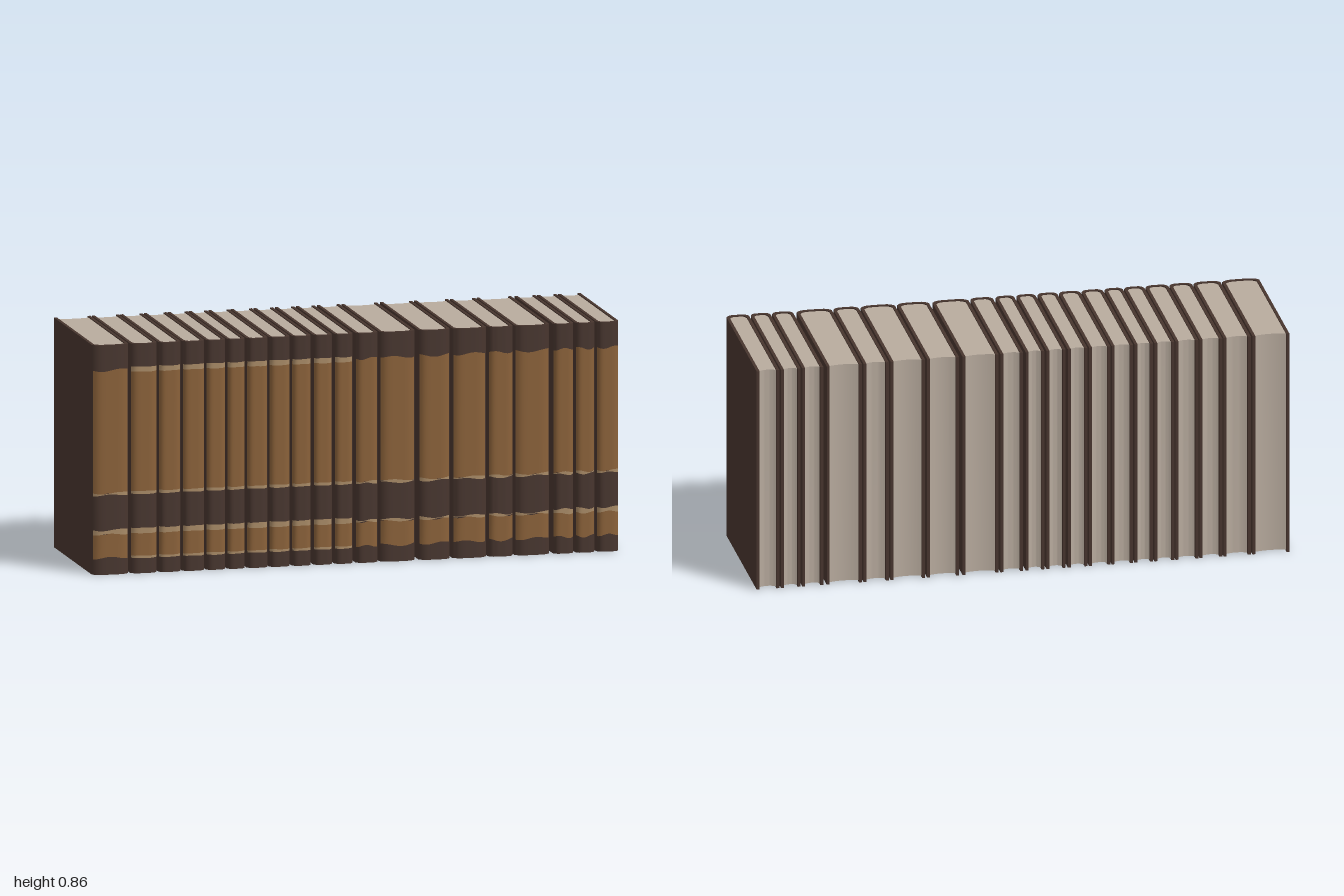
import * as THREE from 'three';
import { toCreasedNormals } from 'three/addons/utils/BufferGeometryUtils.js';

const HEIGHT = 0.86, BACK = -0.295, COVER = 0.011, RECESS = 0.004, SEGS = 14;

// left and right edge of each book along the row
const BOOKS = [
  [-1, -0.861], [-0.855, -0.753], [-0.748, -0.663], [-0.658, -0.573], [-0.568, -0.493],
  [-0.488, -0.419], [-0.413, -0.333], [-0.328, -0.248], [-0.242, -0.168], [-0.16, -0.088],
  [-0.08, -0.01], [0, 0.085], [0.092, 0.227], [0.24, 0.36], [0.368, 0.497],
  [0.504, 0.599], [0.605, 0.737], [0.75, 0.829], [0.835, 0.909], [0.915, 1],
];

const material = (name, color) => {
  const m = new THREE.MeshStandardMaterial({ color });
  m.name = name;
  return m;
};

// rounded front of a spine; u runs from -1 to 1 across the book
const spineZ = (u) => 0.273 + 0.0205 * (1 - Math.abs(u) ** 5);

// row of [x, z] points across the book
const across = (half, zAt) => Array.from({ length: SEGS + 1 }, (_, i) => {
  const u = -Math.cos((i / SEGS) * Math.PI);
  return [half * u, zAt(u)];
});

// upright prism from an outline seen from above
function prism(points, y0, y1) {
  const shape = new THREE.Shape(points.map(([x, z]) => new THREE.Vector2(x, -z)));
  const g = new THREE.ExtrudeGeometry(shape, { depth: y1 - y0, bevelEnabled: false });
  g.rotateX(-Math.PI / 2).translate(0, y0, 0);
  return toCreasedNormals(g, 0.6);
}

// painted strip that follows the spine, with slightly worn edges
function strip(half, y0, y1, lift, wear, seed) {
  const g = new THREE.PlaneGeometry(2, 1, 16, 1);
  const p = g.attributes.position;
  for (let i = 0; i < p.count; i++) {
    const u = p.getX(i) * 0.94;
    const top = p.getY(i) > 0;
    const wave = wear * Math.sin(u * 3.1 + seed * 2.3 + (top ? 0 : 1.7));
    p.setXYZ(i, half * u, (top ? y1 : y0) + wave, spineZ(u) + lift);
  }
  g.computeVertexNormals();
  return g;
}

export function createModel() {
  const leather = material('dark leather', 0x47352e);
  const tan = material('tan band', 0x8a6139);
  const trim = material('light trim', 0xa88a66);
  const paper = material('paper', 0xb8ab9e);
  const model = new THREE.Group();
  model.name = 'bookRow';

  BOOKS.forEach(([left, right], i) => {
    const half = (right - left) / 2, inner = half - COVER;
    const book = new THREE.Group();
    book.name = `book${i + 1}`;
    book.position.x = (left + right) / 2;
    const add = (name, geometry, mat) => {
      const mesh = new THREE.Mesh(geometry, mat);
      mesh.name = name;
      book.add(mesh);
    };

    // boards and spine as one U-shaped cover
    const outside = across(half, spineZ);
    const inside = across(inner, (u) => spineZ(u) - COVER);
    add('cover', prism([[-half, BACK], ...outside, [half, BACK],
      [inner, BACK], ...inside.slice().reverse(), [-inner, BACK]], 0, HEIGHT), leather);

    // page block with a hollow fore edge
    const foreEdge = across(inner, (u) => -0.282 + 0.009 * (1 - u * u));
    add('pages', prism([...inside, ...foreEdge.reverse()], RECESS, HEIGHT - RECESS), paper);

    // wide and narrow bands on the spine
    const worn = i === 0 || i > 10;
    const wear = worn ? 0.005 : 0.001;
    add('upperBand', strip(half, 0.3, 0.765, 0.0008, wear, i), tan);
    add('lowerBand', strip(half, 0.062, worn && i < 17 ? 0.155 : 0.16, 0.0008, wear, i), tan);

    // pale edging, mostly rubbed away on the worn books
    const edges = worn
      ? [[0.297, 0.305]].concat(i === 0 || i > 16 ? [[0.15, 0.167]] : [[0.153, 0.16]])
      : [[0.755, 0.774], [0.297, 0.308], [0.15, 0.17], [0.057, 0.066]];
    edges.forEach(([y0, y1]) => add('edging', strip(half, y0, y1, 0.0014, wear * 0.7, i), trim));

    model.add(book);
  });
  return model;
}
